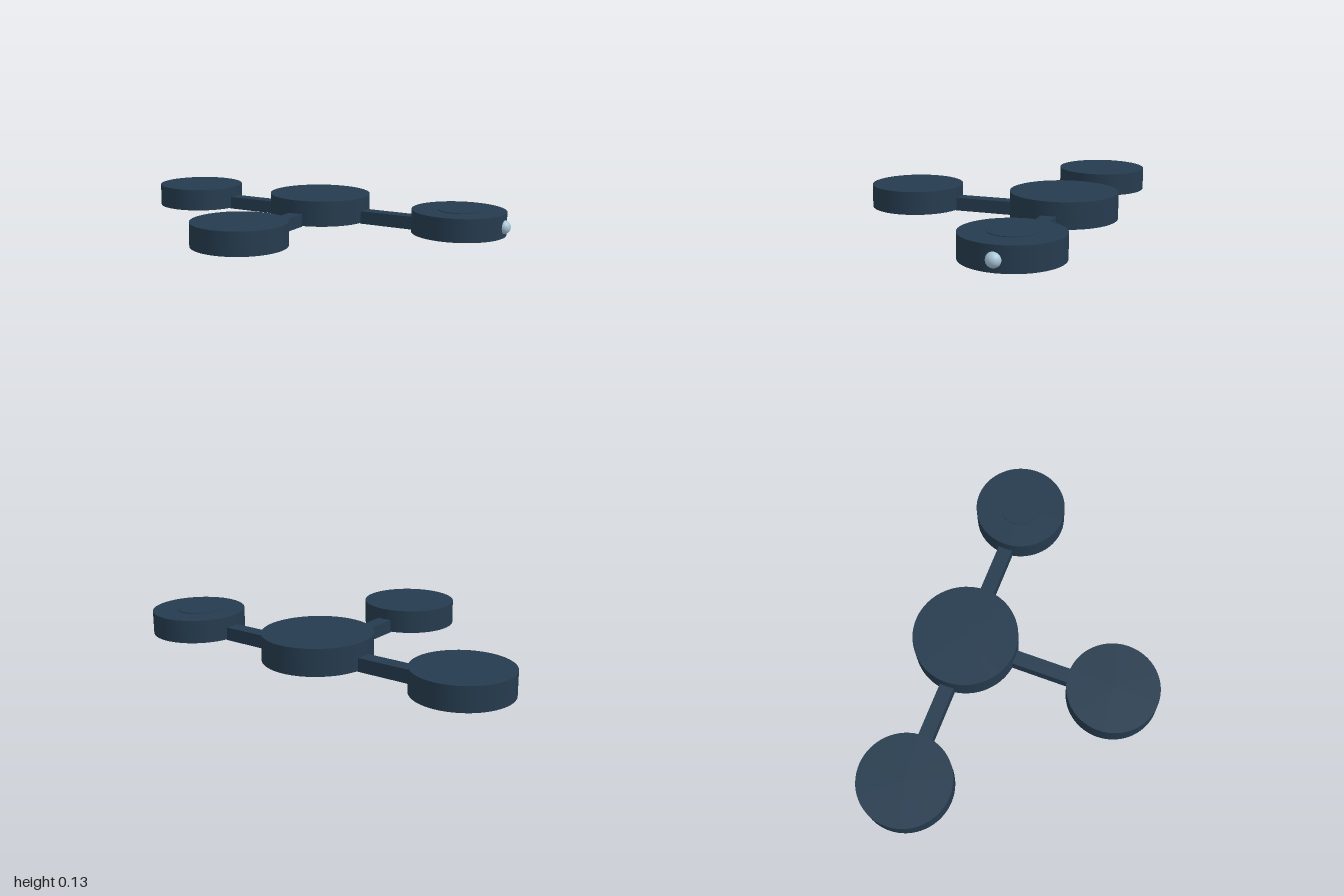
import * as THREE from 'three';

export function createModel() {
  const model = new THREE.Group();
  const navy = new THREE.MeshStandardMaterial({ color: 0x253b4e });
  navy.name = 'dark navy';
  const silver = new THREE.MeshStandardMaterial({ color: 0xa9c6d8 });
  silver.name = 'pale steel blue';

  const cx = -0.015, cz = -0.363; // hub centre
  const reach = 0.76; // hub centre to pod centre
  const base = 0.004;

  function add(name, geometry, material, x, y, z) {
    const mesh = new THREE.Mesh(geometry, material);
    mesh.name = name;
    mesh.position.set(x, y, z);
    model.add(mesh);
    return mesh;
  }
  // Upright disc spanning y0 to y1
  function disc(name, radius, y0, y1, x, z) {
    return add(name, new THREE.CylinderGeometry(radius, radius, y1 - y0, 64),
      navy, x, (y0 + y1) / 2, z);
  }

  disc('hub', 0.257, base, 0.131, cx, cz);

  // Three pods, each joined to the hub by a flat bar
  const arms = [['left', 1, 0], ['right', -1, 0], ['front', 0, 1]];
  const barStart = 0.25, barEnd = 0.54, barHeight = 0.064;
  for (const [side, dx, dz] of arms) {
    disc(side + 'Pod', 0.226, base, 0.116, cx + dx * reach, cz + dz * reach);
    const mid = (barStart + barEnd) / 2;
    const bar = add(side + 'Bar',
      new THREE.BoxGeometry(barEnd - barStart, barHeight, 0.072),
      navy, cx + dx * mid, barHeight / 2, cz + dz * mid);
    if (dz) bar.rotation.y = Math.PI / 2;
  }

  // Thin raised button on the left pod and a round knob on its outer edge
  disc('topButton', 0.103, 0.11, 0.119, cx + reach, cz);
  add('sideKnob', new THREE.SphereGeometry(0.033, 32, 20), silver, 0.967, 0.056, cz);

  return model;
}
